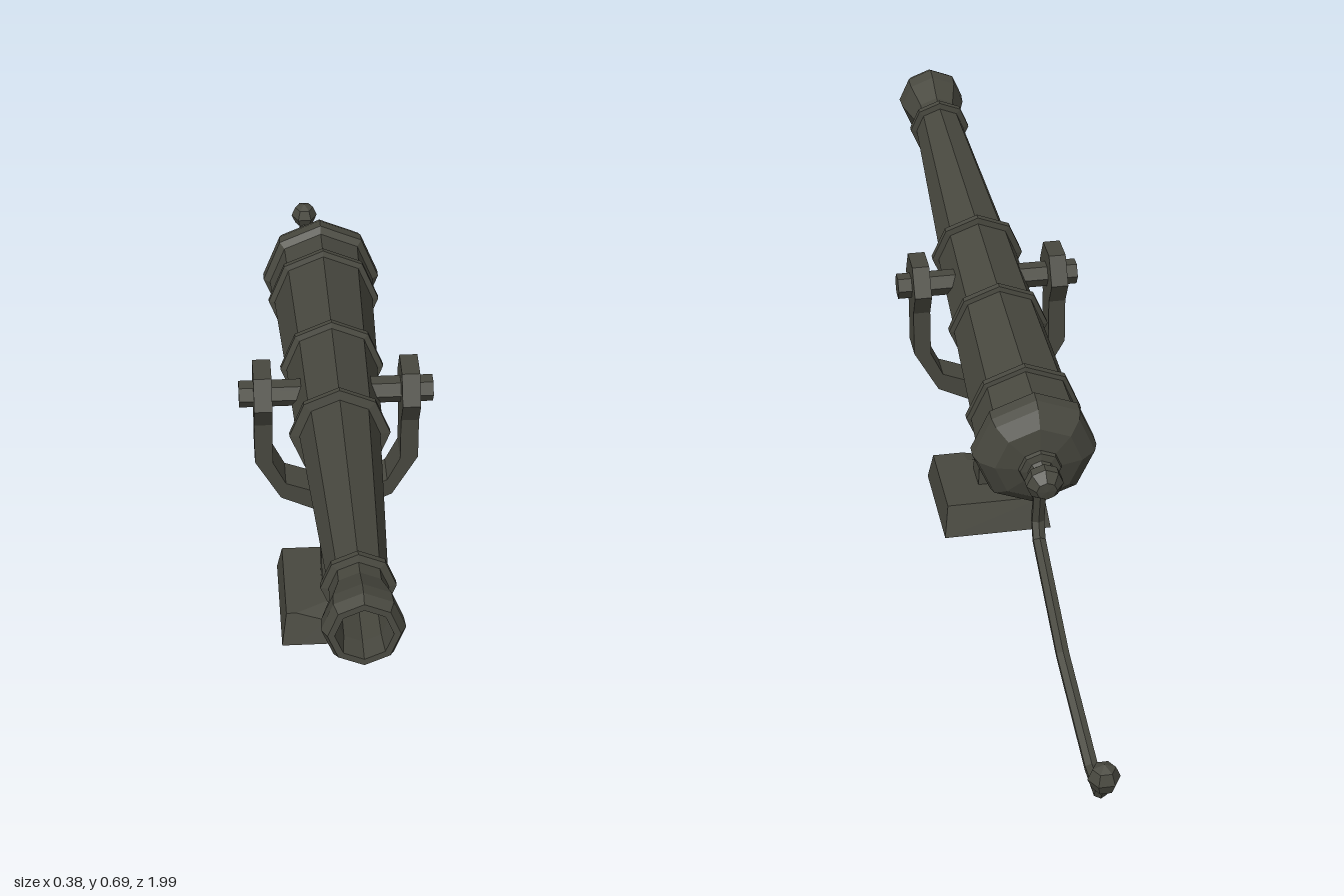
import * as THREE from 'three';

const iron = new THREE.MeshStandardMaterial({ color: 0x48483f });
iron.name = 'dark iron';

// Faceted mesh from any geometry
function part(name, geometry, parent) {
  const g = geometry.index ? geometry.toNonIndexed() : geometry;
  g.computeVertexNormals();
  const mesh = new THREE.Mesh(g, iron);
  mesh.name = name;
  parent.add(mesh);
  return mesh;
}

// Skin a list of equal-length loops and cap both ends
function loft(loops) {
  const pos = [];
  const tri = (...pts) => pts.forEach((p) => pos.push(p.x, p.y, p.z));
  const n = loops[0].length;
  const centre = (loop) => loop.reduce((s, p) => s.add(p), new THREE.Vector3()).divideScalar(n);
  const first = loops[0], last = loops[loops.length - 1];
  const c0 = centre(first), c1 = centre(last);
  for (let j = 0; j < n; j++) {
    const k = (j + 1) % n;
    for (let i = 0; i + 1 < loops.length; i++) {
      const [a, b, c, d] = [loops[i][j], loops[i][k], loops[i + 1][k], loops[i + 1][j]];
      tri(a, b, c);
      tri(a, c, d);
    }
    tri(c0, first[k], first[j]);
    tri(c1, last[j], last[k]);
  }
  const g = new THREE.BufferGeometry();
  g.setAttribute('position', new THREE.Float32BufferAttribute(pos, 3));
  return g;
}

// Bent bar through stations [x, y, z, halfWidth, halfThickness]
function bar(stations, sides) {
  const pts = stations.map(([x, y, z]) => new THREE.Vector3(x, y, z));
  const dir = (i) => new THREE.Vector3(0, pts[i + 1].y - pts[i].y, pts[i + 1].z - pts[i].z).normalize();
  const grow = 1 / Math.cos(Math.PI / sides);
  return loft(stations.map(([, , , w, h], i) => {
    const before = dir(Math.max(i - 1, 0)), after = dir(Math.min(i, pts.length - 2));
    const t = before.clone().add(after).normalize();
    const mitre = 1 / Math.max(t.dot(after), 0.6);
    return Array.from({ length: sides }, (_, j) => {
      const a = ((j + 0.5) / sides) * Math.PI * 2;
      const u = Math.cos(a) * w * grow, v = Math.sin(a) * h * grow * mitre;
      return new THREE.Vector3(pts[i].x + u, pts[i].y + v * t.z, pts[i].z - v * t.y);
    });
  }));
}

// Rectangular loop at height y, seen counterclockwise from above
const rect = (x0, x1, z0, z1, y) => [[x0, z1], [x1, z1], [x1, z0], [x0, z0]]
  .map(([x, z]) => new THREE.Vector3(x, y, z));

// Rectangle with three extra front-edge points, the middle one dented
function dentedRect(x, z0, z1, y, dent = 0) {
  const [a, b, c, d] = rect(-x, x, z0, z1, y);
  const front = [[-0.085, 0], [-0.025, dent], [0.04, 0]]
    .map(([px, drop]) => new THREE.Vector3(px * Math.min(1, x / 0.1), y - drop, z1 + drop * 0.3));
  return [a, ...front, b, c, d];
}

export function createModel() {
  const model = new THREE.Group();
  model.name = 'swivelCannon';
  const pivotZ = 0.213;

  // Base, hollow underneath
  part('base', loft([
    dentedRect(0.07, 0.13, 0.28, 0.045),
    dentedRect(0.085, 0.112, 0.298, 0),
    dentedRect(0.115, 0.083, 0.33, 0),
    dentedRect(0.105, 0.105, 0.308, 0.067, 0.018),
    dentedRect(0.085, 0.125, 0.275, 0.067),
  ]), model);

  // Slightly worn post
  part('post', loft([
    rect(-0.028, 0.027, 0.175, 0.242, 0.06),
    rect(-0.031, 0.02, 0.179, 0.238, 0.19),
    rect(-0.027, 0.022, 0.178, 0.24, 0.235),
    rect(-0.025, 0.026, 0.175, 0.244, 0.29),
  ]), model);

  // Forked yoke
  const half = [[0.025, 0.275], [0.11, 0.317], [0.16, 0.408], [0.16, 0.53],
    [0.125, 0.53], [0.125, 0.405], [0.1, 0.352], [0.025, 0.322]];
  const outline = [...half, ...half.map(([x, y]) => [-x, y]).reverse()];
  const yoke = new THREE.ExtrudeGeometry(
    new THREE.Shape(outline.map(([x, y]) => new THREE.Vector2(x, y))),
    { depth: 0.066, bevelEnabled: false });
  part('yoke', yoke.translate(0, 0, 0.178), model);

  // Hexagonal bearings and the trunnion through them
  const hexRod = (radius, length) =>
    new THREE.CylinderGeometry(radius, radius, length, 6).rotateZ(Math.PI / 2);
  for (const side of [1, -1]) {
    part(side > 0 ? 'leftBearing' : 'rightBearing', hexRod(0.064, 0.035), model)
      .position.set(side * 0.1425, 0.555, pivotZ);
  }
  part('trunnion', hexRod(0.026, 0.376), model).position.set(0, 0.553, pivotZ);
  for (const child of model.children.slice(-3)) child.geometry.computeBoundingSphere();

  // Brace reaching back under the barrel
  part('brace', bar([
    [0, 0.3, 0.21, 0.026, 0.02],
    [0, 0.312, 0.05, 0.026, 0.014],
    [0, 0.383, -0.03, 0.026, 0.01],
    [0, 0.381, -0.1, 0.02, 0.005],
  ], 4), model);

  // Tilted barrel: octagonal profile of [radius, z], breech to muzzle to bore
  const barrel = new THREE.Group();
  barrel.name = 'barrel';
  barrel.position.set(0, 0.531, pivotZ);
  barrel.rotation.x = -0.117;
  model.add(barrel);
  const ring = (z, r, inner0, inner1, w = 0.009) =>
    [[inner0, z - w], [r, z - w * 0.7], [r, z + w * 0.7], [inner1, z + w]];
  const profile = [
    [0, -0.452], [0.02, -0.45], [0.036, -0.43], [0.036, -0.412], [0.022, -0.397],
    [0.026, -0.39], [0.04, -0.386], [0.042, -0.378], [0.085, -0.368], [0.114, -0.345], [0.121, -0.325],
    [0.121, -0.3], [0.108, -0.288],
    ...ring(-0.205, 0.114, 0.105, 0.102),
    ...ring(0.08, 0.102, 0.092, 0.09),
    ...ring(0.337, 0.096, 0.083, 0.077),
    ...ring(0.845, 0.066, 0.053, 0.052),
    [0.052, 0.885], [0.07, 0.945], [0.072, 0.975], [0.062, 0.995],
    [0.05, 0.995], [0.045, 0.95], [0.04, 0.6], [0, 0.6],
  ].map(([r, z]) => new THREE.Vector2(r, z - pivotZ));
  part('barrelBody', new THREE.LatheGeometry(profile, 8).rotateX(Math.PI / 2), barrel);

  // Aiming tiller with its end ball
  part('tiller', bar([
    [0, 0.455, -0.385, 0.012, 0.008],
    [0, 0.33, -0.357, 0.012, 0.009],
    [0, 0.293, -0.372, 0.012, 0.01],
    [0.006, 0.216, -0.64, 0.012, 0.009],
    [-0.002, 0.132, -0.87, 0.012, 0.009],
    [-0.002, 0.138, -0.945, 0.012, 0.009],
    [-0.002, 0.19, -0.968, 0.011, 0.009],
  ], 6), model);
  part('tillerBall', new THREE.SphereGeometry(0.03, 6, 4), model).position.set(-0.002, 0.193, -0.972);

  return model;
}
